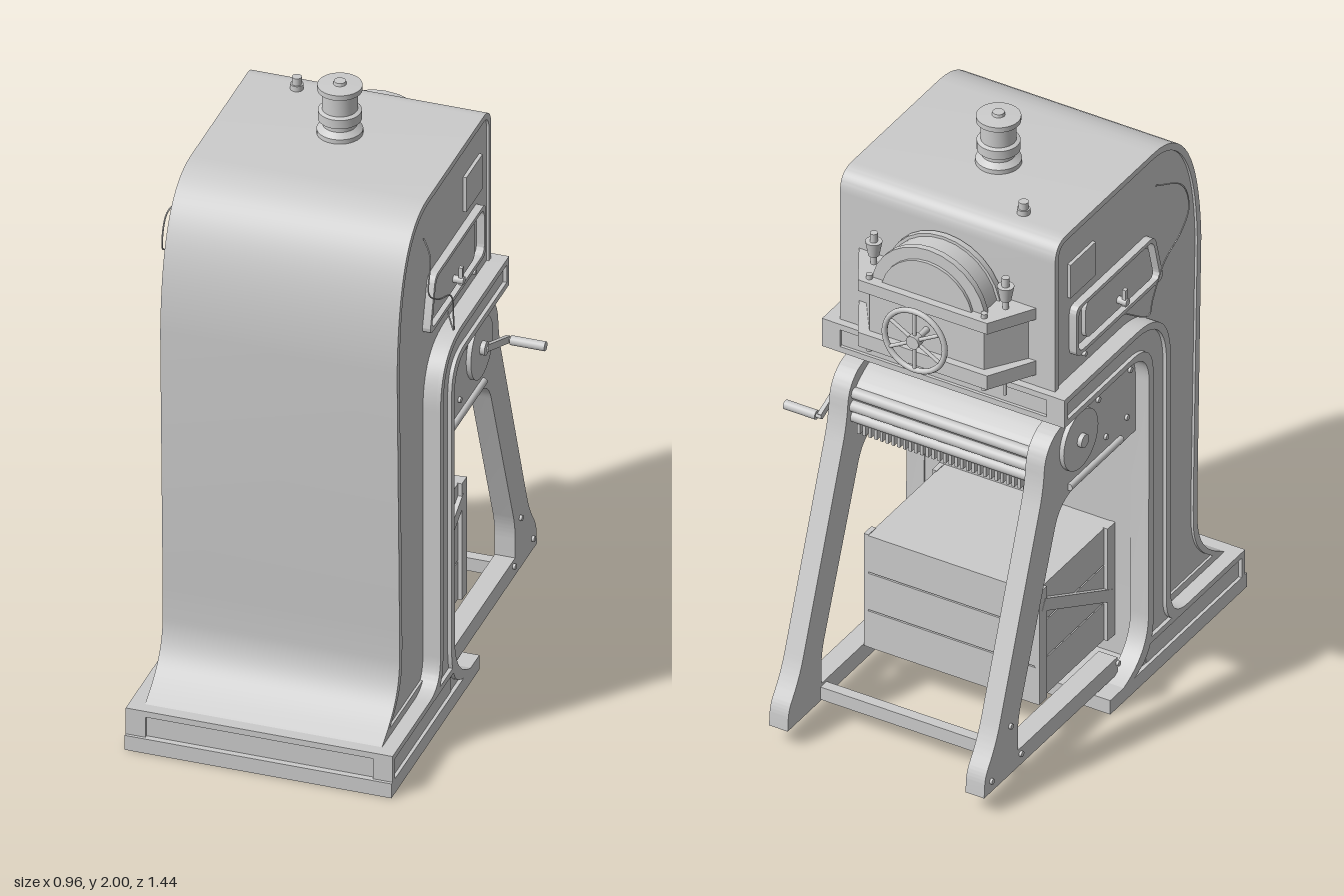
import * as THREE from 'three';
import { toCreasedNormals } from 'three/addons/utils/BufferGeometryUtils.js';

const grey = new THREE.MeshStandardMaterial({ color: 0xcccccc, side: THREE.DoubleSide });

// Closed outline from [u, v, roundBefore, roundAfter] corners
function outline(pts, Type = THREE.Shape) {
  const s = new Type(), n = pts.length;
  const toward = (a, b, d) => {
    const l = Math.hypot(b[0] - a[0], b[1] - a[1]), t = Math.min(d / l, 1);
    return [a[0] + (b[0] - a[0]) * t, a[1] + (b[1] - a[1]) * t];
  };
  pts.forEach((p, i) => {
    const r1 = p[2] || 0, r2 = p[3] ?? r1;
    const a = toward(p, pts[(i + n - 1) % n], r1), b = toward(p, pts[(i + 1) % n], r2);
    if (i) s.lineTo(...a); else s.moveTo(...a);
    if (r1) s.quadraticCurveTo(p[0], p[1], ...b);
  });
  s.closePath();
  return s;
}

function extrude(pts, depth, hole) {
  const s = outline(pts);
  if (hole) s.holes.push(outline(hole, THREE.Path));
  return toCreasedNormals(new THREE.ExtrudeGeometry(s, { depth, bevelEnabled: false, curveSegments: 16 }), 0.5);
}

function add(parent, name, geo, x = 0, y = 0, z = 0) {
  const m = new THREE.Mesh(geo, grey);
  m.name = name;
  m.position.set(x, y, z);
  parent.add(m);
  return m;
}

// Side profile (z, y) spanning x0..x1
const across = (parent, name, pts, x0, x1, hole) =>
  add(parent, name, extrude(pts, x1 - x0, hole).rotateY(-Math.PI / 2), x1);
// Plan profile (x, z) spanning y0..y1
const slab = (parent, name, pts, y0, y1) =>
  add(parent, name, extrude(pts, y1 - y0).rotateX(Math.PI / 2), 0, y1);
// Box from its extents
const box = (parent, name, x0, x1, y0, y1, z0, z1) =>
  add(parent, name, new THREE.BoxGeometry(x1 - x0, y1 - y0, z1 - z0), (x0 + x1) / 2, (y0 + y1) / 2, (z0 + z1) / 2);
// Cylinder along the axis 'x', 'y' or 'z', centred
function rod(parent, name, axis, r, len, x, y, z, r2 = r) {
  const g = new THREE.CylinderGeometry(r2, r, len, 28);
  if (axis === 'x') g.rotateZ(Math.PI / 2);
  if (axis === 'z') g.rotateX(Math.PI / 2);
  return add(parent, name, g, x, y, z);
}

function frame(g) {
  // C-shaped housing with a slim raised rim on each side
  const body = [[0.67, 0.1], [0.67, 0.14], [0.62, 0.17], [0.515, 0.25, 0.1], [0.512, 0.42, 0.05], [0.535, 1.36],
    [0.52, 1.82, 0.46, 0.26], [-0.31, 1.82, 0.07], [-0.31, 1.2], [0.155, 1.2, 0.1], [0.155, 0.1]];
  const inset = [[0.6, 0.165], [0.49, 0.25, 0.1], [0.488, 0.42, 0.05], [0.512, 1.36],
    [0.5, 1.8, 0.43, 0.25], [-0.29, 1.8, 0.05], [-0.29, 1.24], [0.18, 1.24, 0.1], [0.18, 0.165]];
  across(g, 'housing', body, -0.367, 0.367);
  // Plinth
  box(g, 'plinthFoot', -0.4225, 0.4225, 0, 0.05, -0.07, 0.72);
  box(g, 'plinthCore', -0.412, 0.412, 0.05, 0.12, 0.155, 0.7);
  box(g, 'plinthLip', -0.4225, 0.4225, 0.12, 0.14, 0.155, 0.71);
  // Flange following the throat of the frame, with beaded edges
  const band = [[-0.335, 1.29], [0.28, 1.29, 0.2], [0.28, 0.14, 0.1], [0.71, 0.14], [0.71, 0.03], [-0.07, 0.03],
    [0.15, 0.08, 0.19, 0.15], [0.155, 1.19, 0.12], [-0.335, 1.19]];
  const groove = [[-0.315, 1.27], [0.255, 1.27, 0.18], [0.255, 0.12, 0.1], [0.69, 0.12], [0.69, 0.05], [0.07, 0.05],
    [0.18, 0.09, 0.09, 0.12], [0.18, 1.21, 0.12], [-0.315, 1.21]];
  for (const s of [-1, 1]) {
    const pair = (name, pts, a, b, hole) => across(g, name, pts, Math.min(s * a, s * b), Math.max(s * a, s * b), hole);
    pair('housingRim', body, 0.367, 0.375, inset);
    pair('flange', band, 0.36, 0.41);
    pair('flangeBead', band, 0.41, 0.4225, groove);
  }
  box(g, 'rearFlange', -0.41, 0.41, 1.21, 1.27, -0.325, -0.3);
  for (const y of [1.2, 1.28]) box(g, 'rearFlangeBead', -0.4225, 0.4225, y - 0.01, y + 0.01, -0.335, -0.3);
}

function sideFittings(g) {
  for (const s of [-1, 1]) {
    const side = new THREE.Group();
    side.name = s > 0 ? 'leftFittings' : 'rightFittings';
    g.add(side);
    const span = (name, pts, a, b, hole) => across(side, name, pts, Math.min(s * a, s * b), Math.max(s * a, s * b), hole);
    const door = [[0.24, 1.54, 0.03], [-0.215, 1.54, 0.03], [-0.215, 1.36, 0.03], [0.29, 1.36, 0.03]];
    const opening = [[0.23, 1.527, 0.03], [-0.2, 1.527, 0.03], [-0.2, 1.373, 0.03], [0.27, 1.373, 0.03]];
    span('doorFrame', door, 0.36, 0.392, opening);
    span('doorPanel', [[0.215, 1.515, 0.03], [-0.145, 1.515, 0.03], [-0.145, 1.385, 0.03], [0.25, 1.385, 0.03]], 0.36, 0.382);
    span('namePlate', [[-0.08, 1.7], [-0.225, 1.7], [-0.225, 1.58], [-0.08, 1.58]], 0.36, 0.378);
    rod(side, 'latchPivot', 'x', 0.012, 0.04, s * 0.395, 1.42, 0.045);
    box(side, 'latchLever', s * 0.405 - 0.006, s * 0.405 + 0.006, 1.405, 1.465, 0.038, 0.052);
    rod(side, 'housingBolt', 'x', 0.008, 0.02, s * 0.375, 1.335, -0.145);
    // Loose cord hanging beside the door
    const cord = [[0.37, 1.69, 0.28], [0.415, 1.67, 0.35], [0.422, 1.57, 0.385], [0.43, 1.52, 0.33],
      [0.435, 1.47, 0.22], [0.425, 1.36, 0.17], [0.42, 1.31, 0.155], [0.375, 1.34, 0.09]];
    const path = new THREE.CatmullRomCurve3(cord.map(([x, y, z]) => new THREE.Vector3(s * x, y, z)));
    add(side, 'cord', new THREE.TubeGeometry(path, 48, 0.0025, 6));
  }
}

function topFittings(g) {
  // Chimney turned from a stepped profile
  const steps = [[0, 1.81], [0.07, 1.81], [0.07, 1.835], [0.052, 1.85], [0.052, 1.87], [0.066, 1.87], [0.066, 1.9],
    [0.054, 1.905], [0.054, 1.97], [0.068, 1.97], [0.068, 1.987], [0.02, 1.99], [0.018, 2], [0, 2]];
  const lathe = new THREE.LatheGeometry(steps.map(p => new THREE.Vector2(...p)), 32);
  add(g, 'chimney', toCreasedNormals(lathe, 0.5), 0, 0, -0.015);
  rod(g, 'oilCapBase', 'y', 0.02, 0.02, -0.205, 1.828, -0.21);
  rod(g, 'oilCap', 'y', 0.015, 0.04, -0.205, 1.842, -0.21);
}

function rearHead(g) {
  const trap = (d) => [[-0.315 + d, -0.3], [0.315 - d, -0.3], [0.225 - d, -0.455 + d], [-0.225 + d, -0.455 + d]];
  slab(g, 'lowerShelf', trap(0), 1.33, 1.38);
  slab(g, 'upperShelf', trap(0), 1.53, 1.57);
  slab(g, 'gearCase', trap(0.025), 1.38, 1.53);
  rod(g, 'lowerCap', 'y', 0.075, 0.015, 0, 1.325, -0.375);
  // Round drum rising above the shelf
  rod(g, 'drum', 'z', 0.19, 0.12, 0, 1.535, -0.36);
  for (const z of [-0.325, -0.41]) rod(g, 'drumRim', 'z', 0.2, 0.02, 0, 1.535, z);
  rod(g, 'drumFace', 'z', 0.16, 0.02, 0, 1.535, -0.42);
  // Handwheel
  const wheel = new THREE.Group();
  wheel.name = 'handwheel';
  wheel.position.set(0, 1.455, -0.5);
  g.add(wheel);
  add(wheel, 'wheelRim', new THREE.TorusGeometry(0.105, 0.009, 10, 40));
  rod(wheel, 'wheelHub', 'z', 0.022, 0.03, 0, 0, 0);
  rod(wheel, 'wheelShaft', 'z', 0.01, 0.08, 0, 0, 0.04);
  for (let i = 0; i < 6; i++) {
    const a = i * Math.PI / 3;
    rod(wheel, 'spoke', 'y', 0.006, 0.1, -Math.sin(a) * 0.053, Math.cos(a) * 0.053, 0).rotation.z = a;
  }
  // Oil cups, drain pins and shelf bolts
  for (const s of [-1, 1]) {
    rod(g, 'oilCupStem', 'y', 0.01, 0.06, s * 0.23, 1.59, -0.355);
    rod(g, 'oilCup', 'y', 0.017, 0.05, s * 0.23, 1.625, -0.355, 0.026);
    rod(g, 'oilCupLid', 'y', 0.012, 0.03, s * 0.23, 1.665, -0.355);
    rod(g, 'drainPin', 'y', 0.006, 0.08, s * 0.23, 1.3, -0.36);
    for (const y of [1.32, 1.575]) rod(g, 'shelfBolt', 'y', 0.01, 0.02, s * 0.2, y, -0.43);
  }
}

function stand(g) {
  const leg = [[0.17, 1.15], [-0.27, 1.15, 0.05], [-0.365, 1.11, 0.07], [-0.38, 0.97, 0.06], [-0.65, 0.22, 0.06],
    [-0.715, 0.13, 0.03], [-0.72, 0.06], [0.05, 0.06], [0.05, 0.12], [-0.525, 0.12], [-0.525, 0.23, 0.05],
    [-0.28, 0.88, 0.09], [0.17, 0.88]];
  const bolts = [[0.12, 1.12], [-0.065, 1.12], [0.1, 0.96], [-0.02, 0.96], [-0.57, 0.235], [-0.51, 0.1], [-0.68, 0.1], [0.05, 0.1]];
  for (const s of [-1, 1]) {
    across(g, 'standLeg', leg, s > 0 ? 0.31 : -0.375, s > 0 ? 0.375 : -0.31);
    rod(g, 'bearingDisc', 'x', 0.1, 0.02, s * 0.38, 1.05, -0.185);
    rod(g, 'bearingCap', 'x', 0.022, 0.03, s * 0.39, 1.05, -0.185);
    for (const [z, y] of bolts) rod(g, 'standBolt', 'x', 0.009, 0.016, s * 0.375, y, z);
    rod(g, 'guideBar', 'z', 0.012, 0.3, s * 0.378, 0.903, -0.085);
    box(g, 'spacerPost', s * 0.34 - 0.02, s * 0.34 + 0.02, 1.14, 1.21, 0.02, 0.05);
  }
  box(g, 'crossbar', -0.32, 0.32, 0.065, 0.11, -0.53, -0.495);
  // Delivery tray with rollers and a toothed comb between the legs
  across(g, 'tray', [[0.16, 1.1], [-0.24, 1.13, 0.05], [-0.345, 1.07, 0.05], [-0.33, 0.96, 0.06], [-0.22, 0.9, 0.1],
    [-0.05, 0.84, 0.1], [0.16, 0.9]], -0.31, 0.31);
  for (const [y, z] of [[1.06, -0.335], [1.02, -0.345], [0.98, -0.34]]) rod(g, 'trayRoller', 'x', 0.018, 0.62, 0, y, z);
  for (let i = 0; i < 30; i++) {
    const x = -0.29 + i * 0.02;
    box(g, 'combTooth', x - 0.005, x + 0.005, 0.925, 0.96, -0.345, -0.3);
  }
  // Crank
  const arm = add(g, 'crankArm', new THREE.BoxGeometry(0.014, 0.022, 0.21), 0.402, 1.01, -0.285);
  arm.rotation.x = -Math.atan2(0.08, 0.195);
  rod(g, 'crankPin', 'x', 0.008, 0.05, 0.42, 0.97, -0.38);
  rod(g, 'crankHandle', 'x', 0.015, 0.11, 0.468, 0.97, -0.38);
}

function crate(g) {
  const c = new THREE.Group();
  c.name = 'crate';
  g.add(c);
  box(c, 'crateCore', -0.285, 0.285, 0.12, 0.52, -0.28, 0.145);
  for (let i = 0; i < 3; i++) {
    const y = 0.12 + i * 0.136;
    box(c, 'cratePlank', -0.293, 0.293, y, y + 0.131, -0.288, 0.153);
  }
  for (const s of [-1, 1]) {
    for (const z of [-0.265, 0.13]) box(c, 'crateBatten', s * 0.298 - 0.008, s * 0.298 + 0.008, 0.12, 0.525, z - 0.022, z + 0.022);
    const brace = add(c, 'crateBrace', new THREE.BoxGeometry(0.016, 0.04, 0.44), s * 0.299, 0.37, -0.065);
    brace.rotation.x = Math.atan2(0.2, 0.4);
  }
}

export function createModel() {
  const root = new THREE.Group();
  root.name = 'machine';
  const g = new THREE.Group();
  g.name = 'machineBody';
  g.position.x = -0.047;
  root.add(g);
  [frame, sideFittings, topFittings, rearHead, stand, crate].forEach(build => build(g));
  return root;
}
